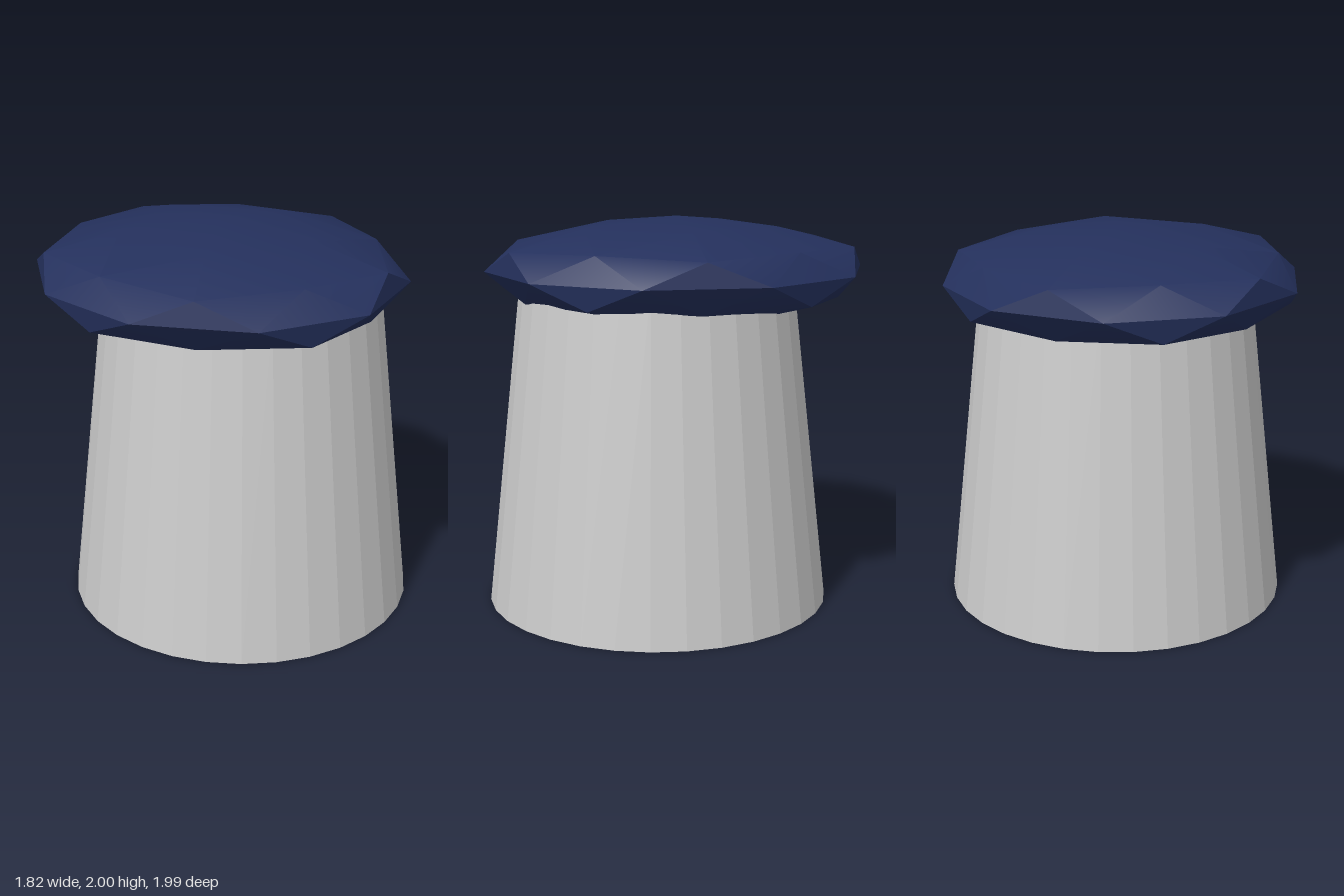
import * as THREE from 'three';
import { toCreasedNormals } from 'three/addons/utils/BufferGeometryUtils.js';
import { ConvexGeometry } from 'three/addons/geometries/ConvexGeometry.js';

const lightGrey = new THREE.MeshStandardMaterial({ color: 0xcccccc });
const navy = new THREE.MeshStandardMaterial({ color: 0x24305c });
lightGrey.name = 'lightGrey';
navy.name = 'navy';

// Flattened, once-subdivided icosahedron with its poles up and down
function capGeometry(rx, ry, rz) {
  const points = [];
  const add = (radius, height, degrees, scale = 1) => {
    const a = THREE.MathUtils.degToRad(degrees);
    points.push(new THREE.Vector3(
      rx * scale * radius * Math.cos(a),
      ry * scale * height,
      rz * scale * radius * Math.sin(a)));
  };
  const corner = 1.04; // the twelve main corners stand slightly proud
  for (const side of [1, -1]) {
    const turn = side > 0 ? 0 : 36;
    add(0, side, 0, corner);
    for (let i = 0; i < 5; i++) {
      const a = turn + i * 72;
      add(0.526, side * 0.851, a);
      add(0.894, side * 0.447, a, corner);
      add(0.851, side * 0.526, a + 36);
    }
  }
  for (let i = 0; i < 10; i++) add(1, 0, 18 + i * 36);
  return toCreasedNormals(new ConvexGeometry(points), Math.PI / 6);
}

export function createModel() {
  const model = new THREE.Group();
  model.name = 'cappedStump';

  // Tapered, faceted body reaching up into the cap
  const top = 1.72;
  const bodyGeometry = new THREE.CylinderGeometry(0.7, 0.893, top, 32).toNonIndexed();
  bodyGeometry.computeVertexNormals();
  const body = new THREE.Mesh(bodyGeometry, lightGrey);
  body.name = 'body';
  body.position.set(0.015, top / 2, 0.11);

  // Broad cap, set slightly off the body's axis
  const cap = new THREE.Mesh(capGeometry(0.918, 0.26, 0.99), navy);
  cap.name = 'cap';
  cap.position.set(-0.037, 1.73, 0);

  model.add(body, cap);
  return model;
}
